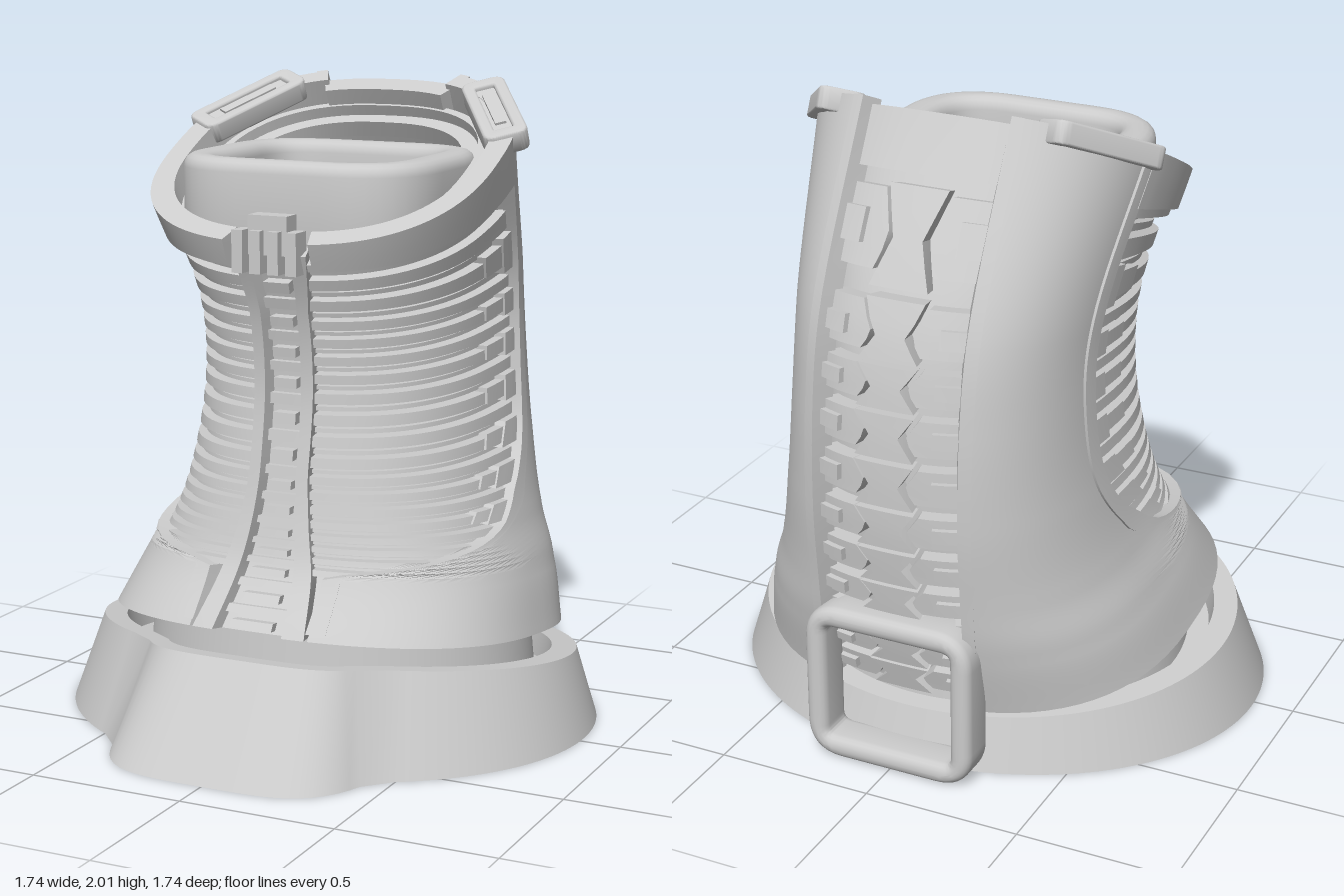
import * as THREE from 'three';
import { toCreasedNormals } from 'three/addons/utils/BufferGeometryUtils.js';

const mat = new THREE.MeshStandardMaterial({ color: 0xcccccc, side: THREE.DoubleSide });
const V = (x, y, z) => new THREE.Vector3(x, y, z);

// Bent neck stations, bottom to top: front edge (z, y), half width
const front = new THREE.CatmullRomCurve3([
  V(0.58, 0.39, 0.69), V(0.45, 0.55, 0.63), V(0.4, 0.68, 0.56), V(0.36, 0.85, 0.51),
  V(0.325, 1.1, 0.48), V(0.35, 1.32, 0.485), V(0.44, 1.57, 0.55)]);
// Back edge (z, y), and how far forward the side shell reaches (0 back, 1 front)
const back = new THREE.CatmullRomCurve3([
  V(-0.77, 0.21, 1), V(-0.82, 0.4, 1), V(-0.855, 0.6, 0.58), V(-0.88, 0.85, 0.41),
  V(-0.87, 1.15, 0.37), V(-0.81, 1.44, 0.36), V(-0.5, 2.02, 0.37)]);
const N = 2.5;
const spow = (v, p) => Math.sign(v) * Math.abs(v) ** p;

// Point on the neck: phi 0 = back, PI = front, o = inward offset
function surf(t, phi, o) {
  const f = front.getPoint(t), b = back.getPoint(t);
  const len = Math.hypot(f.x - b.x, f.y - b.y), e = o / len;
  const k = e + (1 - 2 * e) * (1 - spow(Math.cos(phi), 2 / N)) / 2;
  return V((f.z - o) * spow(Math.sin(phi), 2 / N), b.y + (f.y - b.y) * k, b.x + (f.x - b.x) * k);
}
// Angle at which the section reaches a given x, at the back or at the front
const backAt = (t, x) => Math.asin(spow(x / front.getPoint(t).z, N / 2));
const frontAt = (t, x) => Math.PI - backAt(t, x);
const shellEdge = t => {
  const c = Math.min(1, 2 * back.getPoint(t).z - 1);
  return Math.min(Math.acos(-spow(c, N / 2)), frontAt(t, 0.2));
};

// Skin closed rings of points, with end caps
function loft(rings, flip = false) {
  const n = rings[0].length, pos = [], idx = [];
  rings.forEach(r => r.forEach(p => pos.push(p.x, p.y, p.z)));
  const tri = (a, b, c) => flip ? idx.push(a, c, b) : idx.push(a, b, c);
  for (let j = 0; j < rings.length - 1; j++) for (let i = 0; i < n; i++) {
    const a = j * n + i, b = j * n + (i + 1) % n;
    tri(a, a + n, b); tri(b, a + n, b + n);
  }
  const top = (rings.length - 1) * n;
  for (let i = 0; i < n / 2 - 1; i++) {
    const q = [i, i + 1, n - 2 - i, n - 1 - i];
    tri(q[0], q[1], q[2]); tri(q[0], q[2], q[3]);
    tri(top + q[0], top + q[2], top + q[1]); tri(top + q[0], top + q[3], top + q[2]);
  }
  const g = new THREE.BufferGeometry();
  g.setAttribute('position', new THREE.Float32BufferAttribute(pos, 3));
  g.setIndex(idx);
  return toCreasedNormals(g, 0.55);
}
// Curved slab lying on the neck between two heights, two angles and two depths
function patch(t0, t1, phi0, phi1, o0, o1, nu, nt, sign = 1) {
  const rings = [];
  for (let j = 0; j <= nt; j++) {
    const t = t0 + (t1 - t0) * j / nt, a = phi0(t), b = phi1(t), outer = [], inner = [];
    for (let i = 0; i <= nu; i++) {
      const p = a + (b - a) * i / nu;
      outer.push(surf(t, p, o0)); inner.unshift(surf(t, p, o1));
    }
    rings.push([...outer, ...inner].map(p => p.setX(p.x * sign)));
  }
  return loft(rings, sign < 0);
}
function roundRect(w, h, r, S = THREE.Shape) {
  const s = new S(), x = w / 2, y = h / 2;
  s.moveTo(-x + r, -y); s.lineTo(x - r, -y); s.quadraticCurveTo(x, -y, x, -y + r);
  s.lineTo(x, y - r); s.quadraticCurveTo(x, y, x - r, y);
  s.lineTo(-x + r, y); s.quadraticCurveTo(-x, y, -x, y - r);
  s.lineTo(-x, -y + r); s.quadraticCurveTo(-x, -y, -x + r, -y);
  return s;
}
function frame(w, h, r, iw, ih, ir, depth, bevel) {
  const s = roundRect(w - 2 * bevel, h - 2 * bevel, r);
  s.holes.push(roundRect(iw + 2 * bevel, ih + 2 * bevel, ir, THREE.Path));
  const g = new THREE.ExtrudeGeometry(s, { depth: depth - 2 * bevel, bevelSize: bevel, bevelThickness: bevel, bevelSegments: 4, curveSegments: 10 });
  return toCreasedNormals(g.translate(0, 0, bevel), 0.6);
}

export function createModel() {
  const model = new THREE.Group();
  const add = (name, geo, parent = model) => {
    const m = new THREE.Mesh(geo, mat);
    m.name = name; parent.add(m);
    return m;
  };
  const group = name => { const g = new THREE.Group(); g.name = name; model.add(g); return g; };

  // Base: oval with a front lobe, sloping top and a sunken middle
  const baseRing = (rx, rz, cz, hw, lobe, s, y, slope) => Array.from({ length: 144 }, (_, i) => {
    const a = i / 144 * Math.PI * 2, c = Math.cos(a), d = Math.sin(a);
    let x = rx * c, z = cz + rz * d;
    if (d > 0) {
      const r = 1 / ((Math.abs(c) / hw) ** 4 + (d / lobe) ** 4) ** 0.25;
      if (r > Math.hypot(x, z)) { x = r * c; z = r * d; }
    }
    return V(x * s, y + slope * z * s, z * s);
  });
  const top = [0.79, 0.66, -0.07, 0.42, 0.65];
  add('base', loft([baseRing(0.87, 0.75, -0.03, 0.47, 0.87, 1, 0, 0), baseRing(...top, 1, 0.25, 0.12),
    baseRing(...top, 0.9, 0.25, 0.12), baseRing(...top, 0.88, 0.17, 0.12)]));
  add('plinth', loft([baseRing(0.64, 0.58, -0.1, 0.1, 0.1, 1, 0.12, 0.12), baseRing(0.62, 0.56, -0.1, 0.1, 0.1, 1, 0.34, 0.12)]));

  // Hollow core of the neck
  add('core', patch(0, 0.98, () => -Math.PI, () => Math.PI, 0.085, 0.11, 64, 36));

  // Side shells, edge trims and top collar
  for (const s of [1, -1]) {
    add('sideShell', patch(0, 1, t => backAt(t, 0.255), shellEdge, 0, 0.06, 32, 60, s));
    add('shellEdgeTrim', patch(0.02, 1, t => shellEdge(t) - 0.07, t => shellEdge(t) + 0.015, -0.01, 0.03, 3, 60, s));
    add('shellBackTrim', patch(0.02, 1, t => backAt(t, 0.235), t => backAt(t, 0.27), -0.008, 0.06, 2, 40, s));
    add('collar', patch(0.945, 1, shellEdge, t => frontAt(t, 0.14), -0.012, 0.06, 24, 3, s));
    add('collarLip', patch(0.935, 0.95, shellEdge, t => frontAt(t, 0.12), 0.008, 0.08, 24, 1, s));
  }
  add('rimFloor', patch(0.955, 0.97, () => -Math.PI, () => Math.PI, 0.05, 0.16, 64, 1));
  add('backRim', patch(0.95, 0.995, t => -backAt(t, 0.25), t => backAt(t, 0.25), 0.03, 0.1, 8, 2));

  // Ribs: thick and thin bands in turn, with stepped lugs beside the shell
  const ribs = group('ribs');
  const ribCount = 18, t0 = 0.17, step = (0.935 - t0) / ribCount;
  const railWidth = t => 0.1 + 0.09 * Math.max(0, 1 - t / 0.5) ** 1.3 + 0.03 * Math.max(0, (t - 0.85) / 0.15);
  for (let i = 0; i < ribCount; i++) for (const s of [1, -1]) {
    const t = t0 + i * step, start = q => shellEdge(q) - 0.2, end = q => frontAt(q, railWidth(q) - 0.01);
    add('rib', patch(t, t + step * 0.5, start, end, 0.022, 0.09, 22, 1, s), ribs);
    add('thinRib', patch(t + step * 0.62, t + step * 0.82, start, end, 0.045, 0.09, 22, 1, s), ribs);
    if (i > 3 && i % 2 === 0) {
      add('lug', patch(t - step * 0.2, t + step * 0.9, q => shellEdge(q) - 0.1, q => shellEdge(q) + 0.14, 0.008, 0.09, 4, 1, s), ribs);
      add('lugTip', patch(t, t + step * 0.7, q => shellEdge(q) + 0.12, q => shellEdge(q) + 0.28, 0.014, 0.09, 4, 1, s), ribs);
    }
  }

  // Front strip: two rails with a ladder of small blocks between
  const strip = group('frontStrip');
  for (const s of [1, -1])
    add('rail', patch(0, 0.97, t => frontAt(t, railWidth(t)), t => frontAt(t, railWidth(t) * 0.62), 0, 0.08, 3, 40, s), strip);
  add('stripBed', patch(0, 0.97, t => frontAt(t, railWidth(t)), t => 2 * Math.PI - frontAt(t, railWidth(t)), 0.05, 0.09, 8, 40), strip);
  for (let i = 0; i < 26; i++) {
    const t = 0.01 + i * 0.0365, w = q => railWidth(q) * (i % 2 ? 0.62 : 0.4);
    add('rung', patch(t, t + 0.022, q => frontAt(q, w(q)), q => 2 * Math.PI - frontAt(q, w(q)), i % 2 ? 0.03 : 0.015, 0.07, 4, 1), strip);
  }

  // Back spine: hourglass plates between pairs of side plates
  const spine = group('backSpine');
  const rows = 11, rowStep = 0.93 / rows;
  for (let i = 0; i < rows; i++) {
    const a = 0.02 + i * rowStep, b = a + rowStep * 0.9;
    const waist = t => 0.05 + 0.05 * Math.abs(2 * (t - a) / (b - a) - 1);
    add('centrePlate', patch(a, b, t => -backAt(t, waist(t)), t => backAt(t, waist(t)), 0.025, 0.09, 4, 4), spine);
    for (const s of [1, -1]) {
      add('sidePlate', patch(a + 0.012, b - 0.004, t => backAt(t, waist(t) + 0.02), t => backAt(t, 0.25), 0.035, 0.09, 4, 4, s), spine);
      add('sideTab', patch(a + 0.03, b - 0.02, t => backAt(t, 0.16), t => backAt(t, 0.24), 0.018, 0.06, 2, 1, s), spine);
    }
  }

  // Rounded plug with an opening, and steps down inside
  const plug = add('plug', frame(0.84, 0.74, 0.24, 0.6, 0.55, 0.2, 0.3, 0.04));
  plug.rotation.x = -Math.PI / 2;
  plug.position.set(0, 1.5, -0.01);
  const steps = group('innerSteps');
  for (let i = 0; i < 14; i++) {
    const st = add('step', new THREE.BoxGeometry(0.24, 0.1, 0.045), steps);
    st.position.set(0, 0.5 + i * 0.012, 0.27 - i * 0.042);
  }

  // Corner clips on the rim
  for (const s of [1, -1]) {
    const clip = group('rimClip');
    const d = V(0.22 * s, -0.15, 0.31).normalize(), n = V(0, 0.9, 0.436).normalize();
    const z = d.clone().cross(n).normalize();
    clip.quaternion.setFromRotationMatrix(new THREE.Matrix4().makeBasis(d, z.clone().cross(d), z));
    clip.position.set(0.435 * s, 1.9, -0.3);
    const rim = add('clipFrame', frame(0.39, 0.14, 0.03, 0.29, 0.06, 0.015, 0.07, 0.008), clip);
    rim.rotation.x = -Math.PI / 2;
    rim.position.y = -0.035;
    add('clipPlate', new THREE.BoxGeometry(0.34, 0.04, 0.1), clip);
    add('clipBar', new THREE.BoxGeometry(0.2, 0.06, 0.035), clip);
  }

  // Front latch
  const latch = group('frontLatch');
  add('latchBlock', new THREE.BoxGeometry(0.13, 0.12, 0.07), latch).position.set(0, 1.585, 0.39);
  for (let i = 0; i < 4; i++)
    add('latchTab', new THREE.BoxGeometry(0.036, 0.13, 0.07), latch).position.set(-0.09 + i * 0.06, 1.535, 0.415);

  // Square loop at the back
  add('backLoop', frame(0.56, 0.52, 0.09, 0.42, 0.38, 0.06, 0.14, 0.03)).position.set(0, 0.26, -0.87);
  return model;
}
